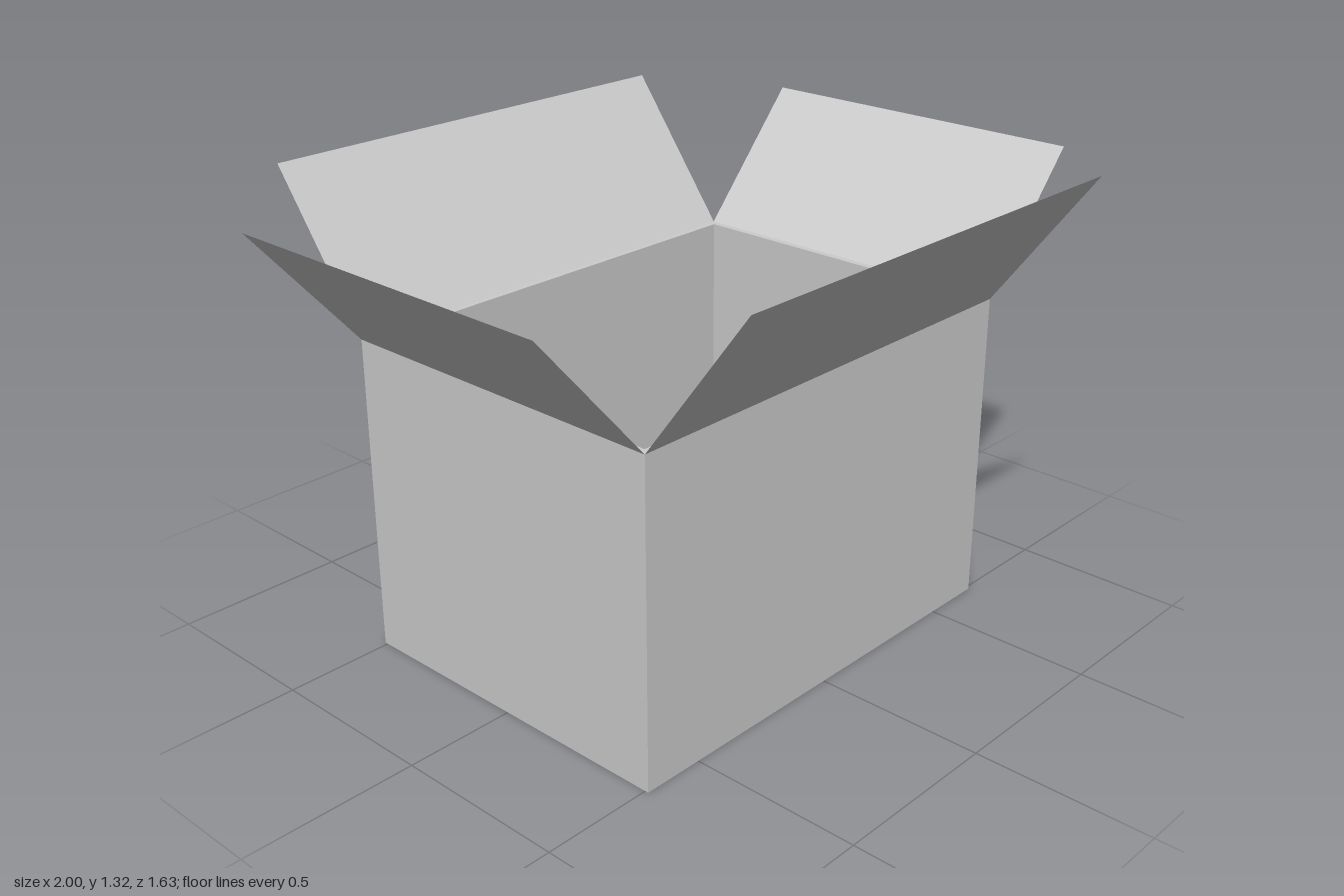
import * as THREE from 'three';

const HX = 0.68, HZ = 0.51, H = 0.91, T = 0.02;

// Open tray: rectangular rings from the outer bottom, over the rim, to the inner floor
function trayGeometry() {
  const rings = [[HX, HZ, 0], [HX, HZ, H], [HX - T, HZ - T, H], [HX - T, HZ - T, T]]
    .map(([x, z, y]) => [[x, y, z], [x, y, -z], [-x, y, -z], [-x, y, z]]);
  const pos = [];
  const quad = (a, b, c, d) => pos.push(...a, ...b, ...c, ...a, ...c, ...d);
  for (let r = 0; r < 3; r++) {
    for (let i = 0; i < 4; i++) {
      const j = (i + 1) % 4;
      quad(rings[r][i], rings[r][j], rings[r + 1][j], rings[r + 1][i]);
    }
  }
  quad(...rings[3]);                // floor, facing up
  quad(...[...rings[0]].reverse()); // underside
  const g = new THREE.BufferGeometry();
  g.setAttribute('position', new THREE.Float32BufferAttribute(pos, 3));
  g.computeVertexNormals();
  return g;
}

// Thin flap hinged on an outer top edge, leaning outwards, then turned to its side
function flapGeometry(width, hinge, out, up, turn) {
  const len = Math.hypot(out, up);
  return new THREE.PlaneGeometry(width, len)
    .translate(0, len / 2, 0)
    .rotateX(Math.atan2(out, up))
    .translate(0, H, hinge)
    .rotateY(turn);
}

export function createModel() {
  const card = new THREE.MeshStandardMaterial({ color: 0xcccccc, side: THREE.DoubleSide });
  card.name = 'lightGreyCard';
  const group = new THREE.Group();
  group.name = 'openBox';
  const add = (name, geometry) => {
    const mesh = new THREE.Mesh(geometry, card);
    mesh.name = name;
    group.add(mesh);
  };

  add('boxBody', trayGeometry());
  add('frontFlap', flapGeometry(2 * HX, HZ, 0.305, 0.41, 0));
  add('backFlap', flapGeometry(2 * HX, HZ, 0.305, 0.41, Math.PI));
  add('leftFlap', flapGeometry(2 * HZ, HX, 0.32, 0.365, Math.PI / 2));
  add('rightFlap', flapGeometry(2 * HZ, HX, 0.32, 0.365, -Math.PI / 2));
  return group;
}
